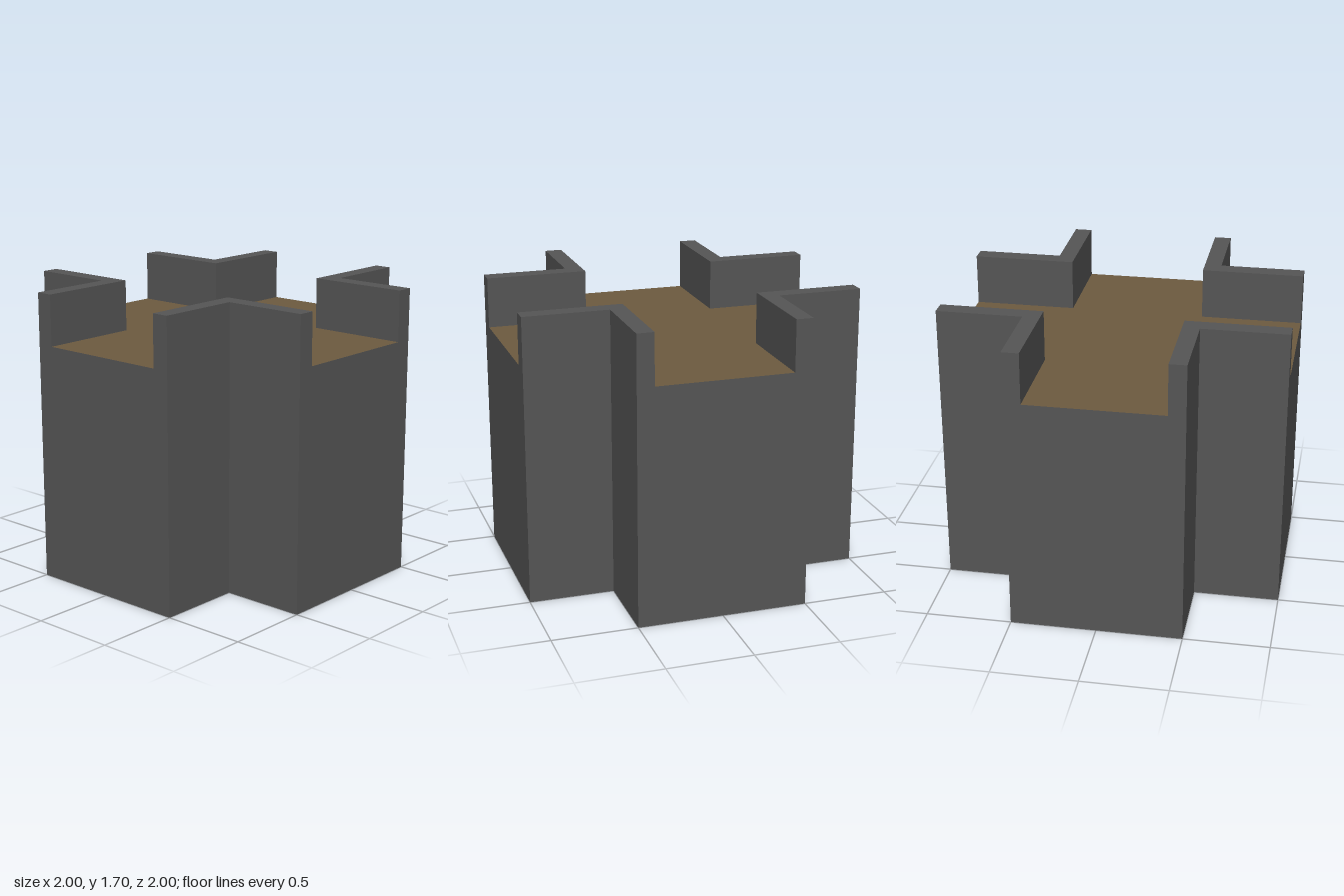
import * as THREE from 'three';

const OUT = 0.5;    // outer half width of an arm
const IN = 0.4;     // half width between the parapets
const END = 1;      // reach of an arm
const FLOOR = 1.4;  // walkway height
const TOP = 1.7;    // parapet height

export function createModel() {
  const model = new THREE.Group();
  model.name = 'crossWallJunction';

  const stone = new THREE.MeshStandardMaterial({ color: 0x555555, side: THREE.DoubleSide });
  stone.name = 'dark grey stone';
  const wood = new THREE.MeshStandardMaterial({ color: 0x6d5b40, side: THREE.DoubleSide });
  wood.name = 'brown walkway';

  const outline = (pts) => new THREE.ShapeGeometry(
    new THREE.Shape(pts.map(([x, y]) => new THREE.Vector2(x, y))));

  const add = (parent, name, geometry, material = stone) => {
    const mesh = new THREE.Mesh(geometry, material);
    mesh.name = name;
    parent.add(mesh);
    return mesh;
  };

  // Upright panel across x (at a fixed z) or along z (at a fixed x)
  const acrossX = (parent, name, x0, x1, z, y0, y1) =>
    add(parent, name, new THREE.PlaneGeometry(x1 - x0, y1 - y0)
      .translate((x0 + x1) / 2, (y0 + y1) / 2, z));
  const alongZ = (parent, name, x, z0, z1, y0, y1) =>
    add(parent, name, new THREE.PlaneGeometry(z1 - z0, y1 - y0)
      .rotateY(x < 0 ? -Math.PI / 2 : Math.PI / 2)
      .translate(x, (y0 + y1) / 2, (z0 + z1) / 2));

  // Notched end wall, and L-shaped cap of one parapet corner
  const endWall = outline([
    [-OUT, 0], [OUT, 0], [OUT, TOP], [IN, TOP],
    [IN, FLOOR], [-IN, FLOOR], [-IN, TOP], [-OUT, TOP],
  ]).translate(0, 0, END);
  const cap = outline([
    [IN, IN], [END, IN], [END, OUT], [OUT, OUT], [OUT, END], [IN, END],
  ]).rotateX(-Math.PI / 2).translate(0, TOP, 0);

  // Four equal arms around the centre
  ['front', 'left', 'back', 'right'].forEach((side, i) => {
    const arm = new THREE.Group();
    arm.name = side + 'Arm';
    arm.rotation.y = i * Math.PI / 2;
    model.add(arm);
    add(arm, 'endWall', endWall);
    add(arm, 'parapetCap', cap);
    for (const s of [-1, 1]) {
      alongZ(arm, 'sideWall', s * OUT, OUT, END, 0, TOP);
      // inner face of the parapet looks towards the walkway
      alongZ(arm, 'parapetInnerFace', s * IN, IN, END, FLOOR, TOP).material = stone;
    }
  });

  // Cross-shaped walkway
  add(model, 'walkway', outline([
    [-IN, -END], [IN, -END], [IN, -IN], [END, -IN], [END, IN], [IN, IN],
    [IN, END], [-IN, END], [-IN, IN], [-END, IN], [-END, -IN], [-IN, -IN],
  ]).rotateX(-Math.PI / 2).translate(0, FLOOR, 0), wood);

  // Inner partitions inside the hollow, open-bottomed body
  acrossX(model, 'innerPartition', -OUT, OUT, IN, 0, FLOOR);
  for (const s of [-1, 1]) {
    alongZ(model, 'frontCornerStrip', s * OUT, IN, OUT, 0, TOP);
    acrossX(model, 'backCornerStrip', s > 0 ? IN : -OUT, s > 0 ? OUT : -IN, -OUT, 0, TOP);
  }

  return model;
}
